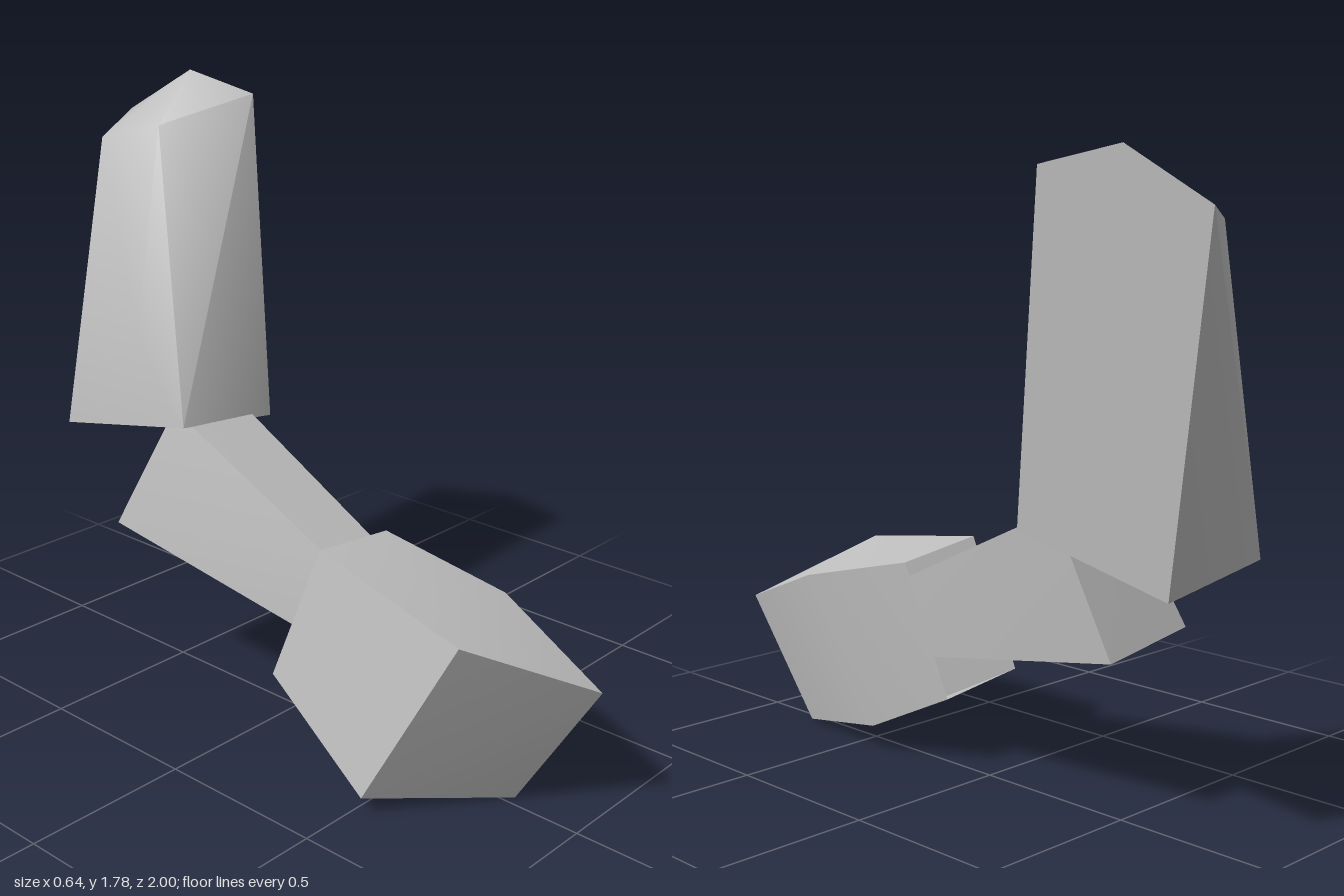
import * as THREE from 'three';
import { ConvexGeometry } from 'three/addons/geometries/ConvexGeometry.js';
import { toCreasedNormals } from 'three/addons/utils/BufferGeometryUtils.js';

const grey = new THREE.MeshStandardMaterial({ color: 0xc0c0c0, side: THREE.DoubleSide });
grey.name = 'plain grey';

// A convex faceted shell, left open across the four corners of its rim
function shell(name, rim, rest) {
  const toVector = (p) => new THREE.Vector3(...p);
  const rimPoints = rim.map(toVector);
  const position = new ConvexGeometry([...rimPoints, ...rest.map(toVector)]).getAttribute('position');
  const kept = [];
  const v = new THREE.Vector3();
  for (let i = 0; i < position.count; i += 3) {
    const corners = [0, 1, 2].map((k) => v.fromBufferAttribute(position, i + k).clone());
    const onRim = corners.every((c) => rimPoints.some((r) => r.distanceTo(c) < 1e-5));
    if (!onRim) corners.forEach((c) => kept.push(c.x, c.y, c.z));
  }
  const geometry = new THREE.BufferGeometry();
  geometry.setAttribute('position', new THREE.Float32BufferAttribute(kept, 3));
  const mesh = new THREE.Mesh(toCreasedNormals(geometry, Math.PI / 3), grey);
  mesh.name = name;
  return mesh;
}

export function createModel() {
  const group = new THREE.Group();
  group.name = 'jointedLimb';

  // Tall upper segment, open at the bottom
  group.add(shell('upperSegment',
    [[-0.16, 0.85, -0.30], [0.2, 0.80, -0.30], [0.2, 0.69, -0.81], [-0.16, 0.745, -0.82]],
    [[-0.165, 1.09, -0.48], [0.31, 1.74, -0.47], [0.32, 1.785, -0.75],
      [0.30, 1.645, -1.0], [0.01, 1.61, -0.81], [0.02, 1.67, -0.57]]));

  // Middle segment, open where it plugs into the end segment
  group.add(shell('middleSegment',
    [[-0.13, 0.57, 0.30], [0.075, 0.545, 0.30], [0.06, 0.32, 0.25], [-0.15, 0.345, 0.25]],
    [[-0.125, 0.88, -0.375], [0.13, 0.85, -0.365], [0.09, 0.46, -0.535], [-0.215, 0.505, -0.54]]));

  // Broad end segment, open at the joint
  group.add(shell('endSegment',
    [[-0.19, 0.645, 0.26], [0.10, 0.61, 0.25], [0.045, 0.21, 0.13], [-0.24, 0.245, 0.13]],
    [[-0.26, 0.56, 0.79], [0.155, 0.52, 0.63], [0.08, 0.38, 1.0],
      [0.03, 0.0, 0.78], [0.10, 0.08, 0.40], [-0.32, 0.05, 0.53]]));

  return group;
}
